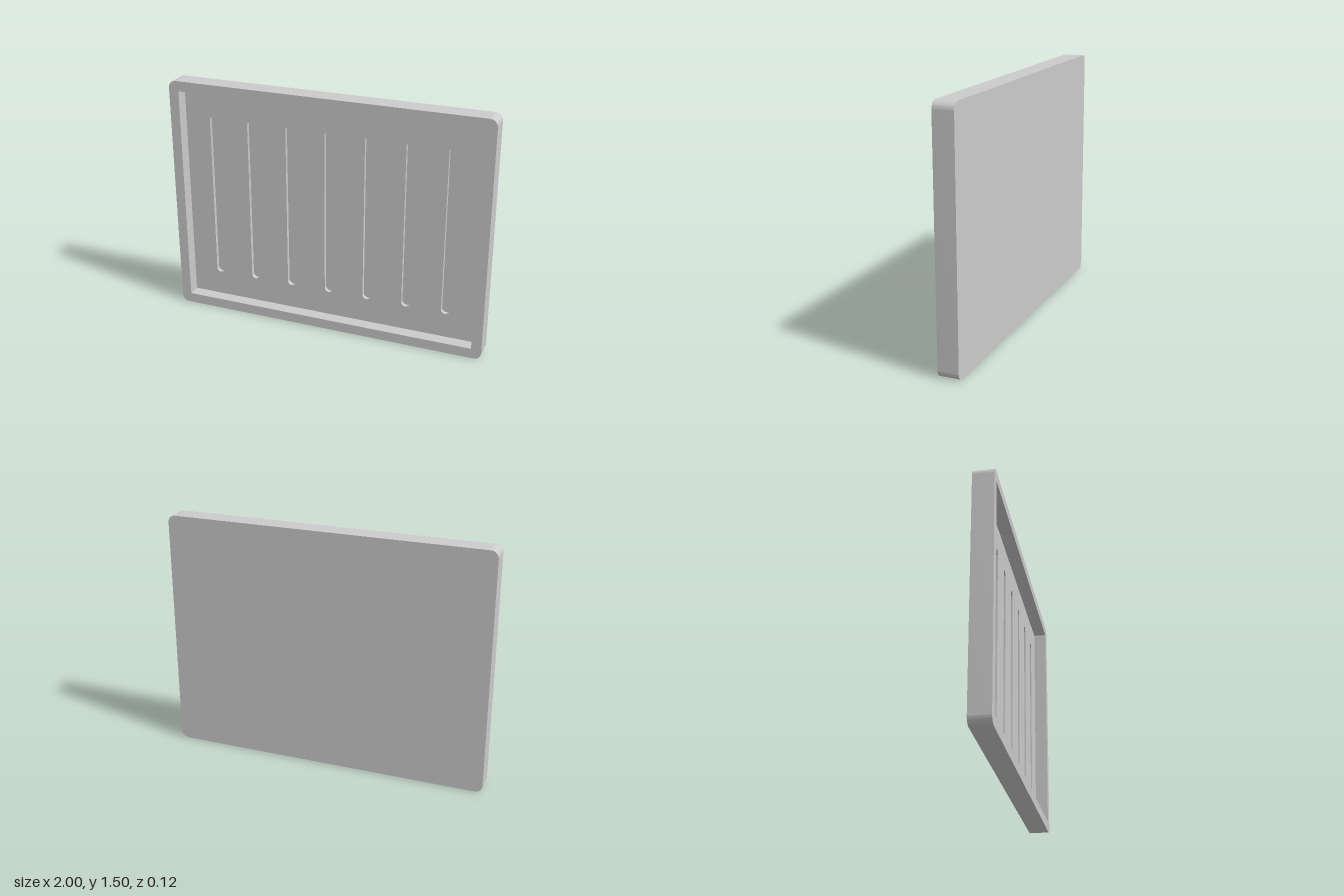
import * as THREE from 'three';
import { mergeGeometries, toCreasedNormals } from 'three/addons/utils/BufferGeometryUtils.js';

const SEGMENTS = 12;
const WIDTH = 2, HEIGHT = 1.5, BORDER = 0.0625, MID_Y = HEIGHT / 2;
const BACK = -0.0625, FRONT = 0.0625;
const FLOOR = -0.016, SLOT_FLOOR = -0.041;

// Counter-clockwise rounded rectangle centred on (cx, cy)
function roundedRect(cx, cy, w, h, r) {
  const x = w / 2 - r, y = h / 2 - r;
  const shape = new THREE.Shape();
  shape.absarc(cx + x, cy + y, r, 0, Math.PI / 2);
  shape.absarc(cx - x, cy + y, r, Math.PI / 2, Math.PI);
  shape.absarc(cx - x, cy - y, r, Math.PI, Math.PI * 1.5);
  shape.absarc(cx + x, cy - y, r, Math.PI * 1.5, Math.PI * 2);
  shape.closePath();
  return shape;
}

function rect(w, h) {
  const x = w / 2, y = h / 2;
  return new THREE.Shape([[x, y], [-x, y], [-x, -y], [x, -y]]
    .map(([px, py]) => new THREE.Vector2(px, MID_Y + py)));
}

// Flat face at depth z, looking forward
function face(shape, z, holes = []) {
  const flat = shape.clone();
  flat.holes = holes;
  return new THREE.ShapeGeometry(flat, SEGMENTS).translate(0, 0, z);
}

// Wall along an outline from z0 to z1, facing outward or inward
function wall(shape, z0, z1, inward = false) {
  const pts = shape.getPoints(SEGMENTS);
  if (!pts[0].equals(pts[pts.length - 1])) pts.push(pts[0].clone());
  if (inward) pts.reverse();
  const positions = [], indices = [];
  pts.forEach((p, i) => {
    positions.push(p.x, p.y, z0, p.x, p.y, z1);
    if (i === pts.length - 1 || p.distanceTo(pts[i + 1]) < 1e-6) return;
    const a = i * 2;
    indices.push(a, a + 2, a + 3, a, a + 3, a + 1);
  });
  const geometry = new THREE.BufferGeometry();
  geometry.setAttribute('position', new THREE.Float32BufferAttribute(positions, 3));
  geometry.setIndex(indices);
  return geometry;
}

export function createModel() {
  const group = new THREE.Group();
  const material = new THREE.MeshStandardMaterial({ color: 0xcccccc });

  function addPart(name, ...pieces) {
    const bare = pieces.map((g) => {
      const piece = g.index ? g.toNonIndexed() : g;
      piece.deleteAttribute('normal');
      piece.deleteAttribute('uv');
      return piece;
    });
    const mesh = new THREE.Mesh(toCreasedNormals(mergeGeometries(bare), 0.5), material);
    mesh.name = name;
    group.add(mesh);
  }

  const outer = roundedRect(0, MID_Y, WIDTH, HEIGHT, 0.045);
  const recess = rect(WIDTH - 2 * BORDER, HEIGHT - 2 * BORDER);
  const slots = Array.from({ length: 7 }, (_, i) =>
    roundedRect((i - 3) * 0.25, MID_Y, 0.053, 1.064, 0.0265));

  // Outer casing: front rim, rounded side walls and plain back
  addPart('casing',
    face(outer, FRONT, [recess]),
    wall(outer, BACK, FRONT),
    face(outer, -BACK).rotateY(Math.PI));

  // Sunken panel pierced by the slots
  addPart('recessedPanel',
    wall(recess, FLOOR, FRONT, true),
    face(recess, FLOOR, slots));

  // Shallow round-ended grooves
  slots.forEach((slot, i) => addPart(`slot${i + 1}`,
    wall(slot, SLOT_FLOOR, FLOOR, true),
    face(slot, SLOT_FLOOR)));

  return group;
}
